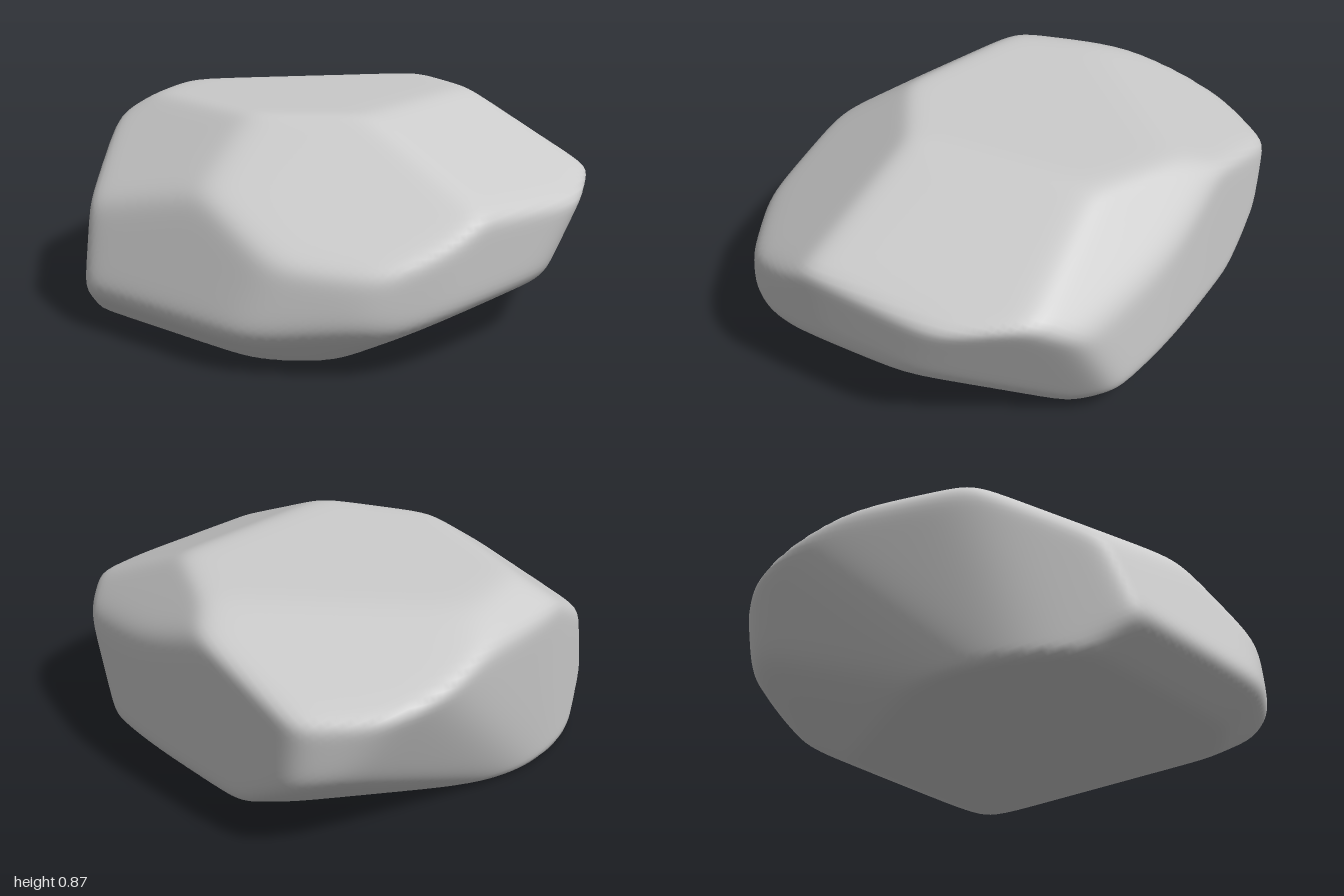
import * as THREE from 'three';
import { mergeVertices } from 'three/addons/utils/BufferGeometryUtils.js';

// Each cut is a plane: outward normal, then a point it passes through.
const CUTS = [
  // flat base and crown
  [[0, -1, 0], [0, 0, 0]],
  [[-0.04, 1, -0.03], [0, 0.855, 0]],
  // right side: shoulder, face, undercut, back corner
  [[0.4, 0.91, -0.07], [0.66, 0.73, 0]],
  [[1, -0.12, 0.05], [0.99, 0.42, 0]],
  [[0.48, -0.87, 0], [0.7, 0.1, 0]],
  [[0.78, -0.42, -0.47], [0.85, 0.45, -0.58]],
  // back: two faces, sloping shoulder, undercut
  [[-0.03, 0, -1], [-0.2, 0.4, -0.905]],
  [[0.2, 0, -1], [0.45, 0.4, -0.865]],
  [[0.25, 0.7, -0.67], [0.4, 0.8, -0.62]],
  [[0, -0.9, -0.45], [0, 0.06, -0.76]],
  // back left corner: face, broad shoulder, rising underside
  [[-0.75, -0.12, -0.6], [-0.85, 0.5, -0.78]],
  [[-0.28, 0.92, -0.26], [-0.62, 0.765, -0.45]],
  [[-0.45, -0.75, -0.25], [-0.8, 0.02, 0.08]],
  // left side: face, shoulder, undercut, front corner
  [[-0.95, -0.1, 0.24], [-0.95, 0.5, -0.1]],
  [[-0.5, 0.85, 0.15], [-0.84, 0.77, 0.15]],
  [[-0.9, -0.42, -0.08], [-1, 0.55, -0.3]],
  [[-0.83, 0, 0.55], [-0.81, 0.4, 0.44]],
  // front: two slopes, faces, undercuts
  [[-0.15, 0.8, 0.56], [-0.3, 0.68, 0.61]],
  [[0.3, 0.83, 0.5], [0.35, 0.62, 0.6]],
  [[0, 0.32, 0.95], [0, 0.4, 0.845]],
  [[0.45, 0.1, 0.88], [0.6, 0.3, 0.77]],
  [[0.87, -0.1, 0.47], [0.88, 0.35, 0.53]],
  [[0, -0.75, 0.65], [0, 0.1, 0.86]],
  [[0.4, -0.75, 0.5], [0.5, 0.1, 0.74]],
];
const CENTRE = new THREE.Vector3(0, 0.42, 0);
const SHARPNESS = 36; // higher gives crisper edges between the cuts

// Push a sphere out to the softened intersection of all cuts.
function createStoneGeometry() {
  const planes = CUTS.map(([n, p]) => {
    const normal = new THREE.Vector3(...n).normalize();
    const distance = new THREE.Vector3(...p).sub(CENTRE).dot(normal);
    return normal.divideScalar(distance);
  });
  let geometry = new THREE.IcosahedronGeometry(1, 45);
  geometry.deleteAttribute('normal');
  geometry.deleteAttribute('uv');
  geometry = mergeVertices(geometry, 1e-5);

  const position = geometry.attributes.position;
  const dir = new THREE.Vector3();
  for (let i = 0; i < position.count; i++) {
    dir.fromBufferAttribute(position, i).normalize();
    let sum = 0;
    for (const plane of planes) sum += Math.max(0, plane.dot(dir)) ** SHARPNESS;
    dir.multiplyScalar(sum ** (-1 / SHARPNESS)).add(CENTRE);
    position.setXYZ(i, dir.x, dir.y, dir.z);
  }
  geometry.computeVertexNormals();
  return geometry;
}

export function createModel() {
  const model = new THREE.Group();
  model.name = 'rock';
  const stone = new THREE.Mesh(
    createStoneGeometry(),
    new THREE.MeshStandardMaterial({ color: 0xcccccc })
  );
  stone.name = 'stone';
  model.add(stone);
  return model;
}
